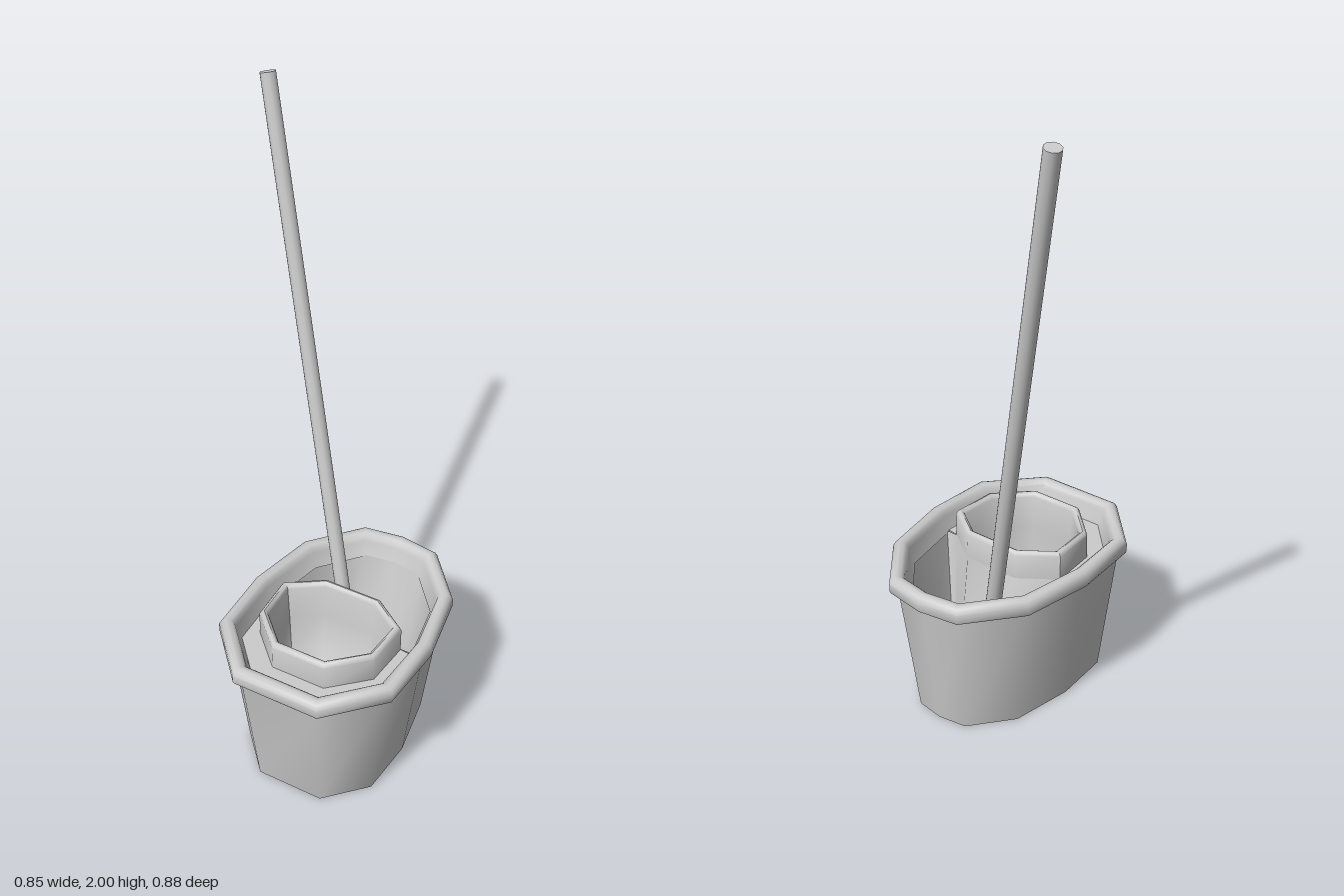
import * as THREE from 'three';
import { toCreasedNormals } from 'three/addons/utils/BufferGeometryUtils.js';

const CX = 0.108; // symmetry plane of the bucket
const material = new THREE.MeshStandardMaterial({ color: 0xcccccc, side: THREE.DoubleSide });

// Half outline (dx, z) running back to front, mirrored into a full loop
function mirrorLoop(half) {
  const right = half.map(([dx, z]) => [CX + dx, z]);
  const left = half.filter(([dx]) => dx > 0).map(([dx, z]) => [CX - dx, z]).reverse();
  return [...right, ...left];
}

// Move every side of a loop inward by d
function inset(loop, d) {
  const n = loop.length;
  return loop.map((p, i) => {
    const a = loop[(i + n - 1) % n], b = loop[(i + 1) % n];
    const u = new THREE.Vector2(p[0] - a[0], p[1] - a[1]).normalize();
    const v = new THREE.Vector2(b[0] - p[0], b[1] - p[1]).normalize();
    const k = d / (1 + u.dot(v));
    return [p[0] - (u.y + v.y) * k, p[1] + (u.x + v.x) * k];
  });
}

// Skin a list of { loop, y } sections, optionally closing the last one
function loft(name, sections, cap = false, crease = 0.85) {
  const pos = [], n = sections[0].loop.length;
  const at = (s, i) => [s.loop[i % n][0], s.y, s.loop[i % n][1]];
  for (let k = 0; k + 1 < sections.length; k++) {
    const a = sections[k], b = sections[k + 1];
    for (let i = 0; i < n; i++) {
      pos.push(...at(a, i), ...at(b, i), ...at(a, i + 1));
      pos.push(...at(b, i), ...at(b, i + 1), ...at(a, i + 1));
    }
  }
  if (cap) {
    const s = sections[sections.length - 1];
    const contour = s.loop.map(([x, z]) => new THREE.Vector2(x, -z)).reverse();
    for (const f of THREE.ShapeUtils.triangulateShape(contour, [])) {
      for (const i of f) pos.push(contour[i].x, s.y, -contour[i].y);
    }
  }
  const geo = new THREE.BufferGeometry();
  geo.setAttribute('position', new THREE.Float32BufferAttribute(pos, 3));
  const mesh = new THREE.Mesh(toCreasedNormals(geo, crease), material);
  mesh.name = name;
  return mesh;
}

export function createModel() {
  const group = new THREE.Group();
  group.name = 'mopBucket';

  const outline = mirrorLoop([[0, -0.39], [0.135, -0.37], [0.275, -0.2], [0.318, 0.035],
    [0.305, 0.265], [0.145, 0.436]]);
  const ring = (d, y) => ({ loop: inset(outline, d), y });

  // Tapered wall, open underneath
  group.add(loft('bucketWall', [ring(0.08, 0), ring(0.026, 0.45)]));

  // Rounded lip
  group.add(loft('bucketRim', [ring(0.026, 0.447), ring(0.004, 0.447), ring(0, 0.455), ring(0, 0.482),
    ring(0.008, 0.496), ring(0.02, 0.502), ring(0.036, 0.5), ring(0.046, 0.49), ring(0.05, 0.475),
    ring(0.068, 0.425)]));

  // Wringer cup
  const cup = mirrorLoop([[0.097, -0.047], [0.213, 0.035], [0.203, 0.19], [0.09, 0.3]]);
  const cupRing = (d, y) => ({ loop: inset(cup, d), y });
  const cupFloor = mirrorLoop([[0.06, 0.07], [0.115, 0.11], [0.125, 0.195], [0.075, 0.24]]);
  group.add(loft('wringerCup', [cupRing(0, 0.42), cupRing(0, 0.512), cupRing(0.006, 0.522),
    cupRing(0.014, 0.525), cupRing(0.022, 0.52), cupRing(0.026, 0.51), cupRing(0.034, 0.4),
    { loop: inset(cup, 0.05).map(([x, z]) => [x, z + 0.01]), y: 0.28 },
    { loop: cupFloor, y: 0.18 }], true));

  // Flat ledge around the front of the cup
  const edge = inset(outline, 0.064);
  const ledgePoints = [...edge.slice(3, 9), ...[...cup.slice(1, 7)].reverse()];
  const ledgeGeo = new THREE.ShapeGeometry(
    new THREE.Shape(ledgePoints.map(([x, z]) => new THREE.Vector2(x, -z))));
  ledgeGeo.rotateX(-Math.PI / 2).translate(0, 0.43, 0);
  const ledge = new THREE.Mesh(ledgeGeo, material);
  ledge.name = 'ledge';
  group.add(ledge);

  // Water chamber behind the cup
  const chamberTop = mirrorLoop([[0, -0.322], [0.112, -0.305], [0.222, -0.17], [0.252, 0.033],
    [0.212, 0.033], [0.097, -0.047]]);
  const chamberFloor = mirrorLoop([[0, -0.24], [0.1, -0.225], [0.165, -0.15], [0.175, -0.04],
    [0.14, -0.055], [0.05, -0.15]]);
  group.add(loft('waterChamber', [{ loop: chamberTop, y: 0.43 }, { loop: chamberFloor, y: 0.09 }], true, 1.1));

  // Leaning mop handle
  const low = new THREE.Vector3(0.022, 0.25, -0.166), high = new THREE.Vector3(-0.405, 1.993, -0.415);
  const handleGeo = new THREE.CylinderGeometry(0.025, 0.025, low.distanceTo(high), 10);
  const handle = new THREE.Mesh(handleGeo, material);
  handle.name = 'mopHandle';
  handle.position.copy(low).add(high).multiplyScalar(0.5);
  handle.quaternion.setFromUnitVectors(new THREE.Vector3(0, 1, 0), high.clone().sub(low).normalize());
  group.add(handle);

  return group;
}
